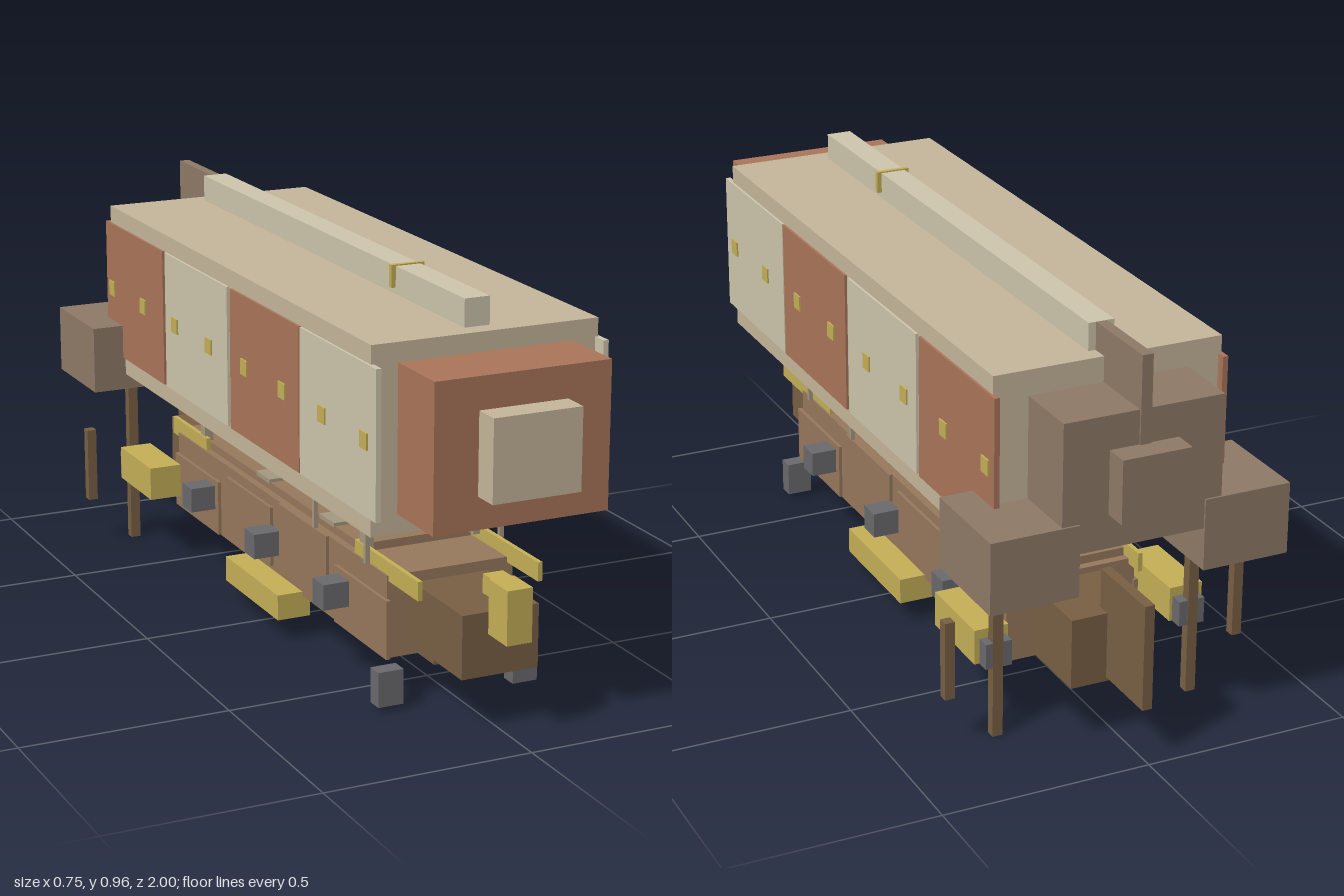
import * as THREE from 'three';

const COLORS = {
  hull: 0xc8b89c, cream: 0xd0c8ae, rust: 0xab765a, taupe: 0x907b68, gold: 0xc6b157,
  brown: 0x997a5e, dark: 0x7a6145, grey: 0x6b6b6e, tan: 0xa89a82,
};

export function createModel() {
  const model = new THREE.Group();
  model.name = 'airship';
  const materials = {};
  for (const key in COLORS) materials[key] = new THREE.MeshStandardMaterial({ color: COLORS[key], flatShading: true });

  // Box given by its extents on each axis
  function box(name, color, [x0, x1], [y0, y1], [z0, z1]) {
    const mesh = new THREE.Mesh(new THREE.BoxGeometry(x1 - x0, y1 - y0, z1 - z0), materials[color]);
    mesh.position.set((x0 + x1) / 2, (y0 + y1) / 2, (z0 + z1) / 2);
    mesh.name = name;
    model.add(mesh);
  }
  // Box centred on x = 0
  const mid = (name, color, half, y, z) => box(name, color, [-half, half], y, z);
  // Mirrored pair of boxes
  function pair(name, color, [x0, x1], y, z) {
    box(name + 'Left', color, [x0, x1], y, z);
    box(name + 'Right', color, [-x1, -x0], y, z);
  }
  const around = (c, size) => [c - size / 2, c + size / 2];

  // Envelope
  mid('envelope', 'hull', 0.277, [0.46, 0.89], [-0.775, 0.765]);
  mid('bowBlock', 'rust', 0.213, [0.505, 0.845], [0.765, 0.935]);
  mid('bowCap', 'hull', 0.107, [0.58, 0.77], [0.935, 1.0]);
  mid('topRidge', 'cream', 0.031, [0.89, 0.955], [-0.735, 0.72]);
  mid('ridgeBand', 'gold', 0.042, [0.905, 0.958], [0.374, 0.386]);
  mid('bellyBeam', 'taupe', 0.042, [0.41, 0.46], [-0.645, 0.64]);
  mid('bellyBand', 'gold', 0.063, [0.405, 0.46], [-0.442, -0.422]);

  // Side panels in alternating colours, with studs
  [0.607, 0.212, -0.195, -0.6].forEach((z, i) =>
    pair('sidePanel', i % 2 ? 'rust' : 'cream', [0.27, 0.283], [0.505, 0.847], around(z, 0.39)));
  for (let i = 0; i < 8; i++)
    pair('panelStud', 'gold', [0.275, 0.287], [0.657, 0.695], around(0.745 - i * 0.214, 0.036));

  // Tail of the envelope
  mid('tailBlock', 'taupe', 0.193, [0.52, 0.83], [-0.94, -0.775]);
  mid('tailCap', 'taupe', 0.083, [0.6, 0.75], [-1.0, -0.94]);
  mid('topFin', 'taupe', 0.013, [0.75, 0.955], [-0.945, -0.735]);
  pair('sideFin', 'taupe', [0.152, 0.363], [0.42, 0.59], [-0.945, -0.69]);

  // Posts and blades at the tail
  pair('tailPost', 'dark', [0.234, 0.259], [0, 0.42], [-0.745, -0.72]);
  pair('propellerBlade', 'dark', [0.352, 0.376], [0.12, 0.31], [-0.745, -0.72]);
  pair('propellerHub', 'grey', [0.212, 0.276], [0.173, 0.235], [-0.744, -0.705]);
  pair('engine', 'gold', [0.205, 0.288], [0.173, 0.257], [-0.71, -0.5]);

  // Gondola hull
  mid('gondola', 'brown', 0.16, [0.108, 0.305], [-0.62, 0.61]);
  mid('deck', 'brown', 0.142, [0.305, 0.325], [-0.6, 0.44]);
  mid('keel', 'dark', 0.031, [0.065, 0.108], [-0.6, 0.595]);
  [
    [0.11, 0.25, 0.35, 0.625],
    [0.16, 0.305, 0.03, 0.305],
    [0.13, 0.28, -0.29, -0.015],
    [0.11, 0.25, -0.625, -0.34],
  ].forEach(([y0, y1, z0, z1]) => pair('hullPlank', 'brown', [0.157, 0.168], [y0, y1], [z0, z1]));

  // Gondola bow and stern
  mid('gondolaBow', 'dark', 0.095, [0.13, 0.28], [0.61, 0.85]);
  mid('figurehead', 'gold', 0.031, [0.228, 0.355], [0.85, 0.935]);
  mid('figureheadBack', 'gold', 0.025, [0.31, 0.355], [0.81, 0.85]);
  mid('gondolaStern', 'dark', 0.1, [0.12, 0.29], [-0.815, -0.62]);
  mid('rudder', 'dark', 0.012, [0.13, 0.385], [-0.985, -0.78]);

  // Rails and deck hatches
  pair('bowRail', 'gold', [0.145, 0.156], [0.292, 0.337], [0.435, 0.755]);
  pair('sternRail', 'gold', [0.145, 0.156], [0.292, 0.337], [-0.665, -0.44]);
  for (const z of [0.26, -0.11]) pair('deckHatch', 'tan', [0.065, 0.145], [0.322, 0.333], around(z, 0.08));

  // Struts between gondola and envelope
  for (const z of [0.383, -0.217]) mid('centreStrut', 'dark', 0.019, [0.32, 0.41], around(z, 0.034));
  for (const z of [0.465, -0.473]) pair('deckStrut', 'tan', [0.128, 0.152], [0.32, 0.46], around(z, 0.026));
  for (const z of [0.53, 0.253]) pair('rope', 'tan', [0.166, 0.177], [0.312, 0.46], around(z, 0.01));

  // Side fittings
  for (const z of [0.4, 0.006, -0.39]) pair('cannon', 'grey', [0.165, 0.233], [0.173, 0.235], around(z, 0.06));
  pair('sideFloat', 'gold', [0.14, 0.225], [0.055, 0.118], [-0.16, 0.155]);
  pair('anchor', 'grey', [0.14, 0.203], [0.012, 0.096], [0.616, 0.657]);

  return model;
}
